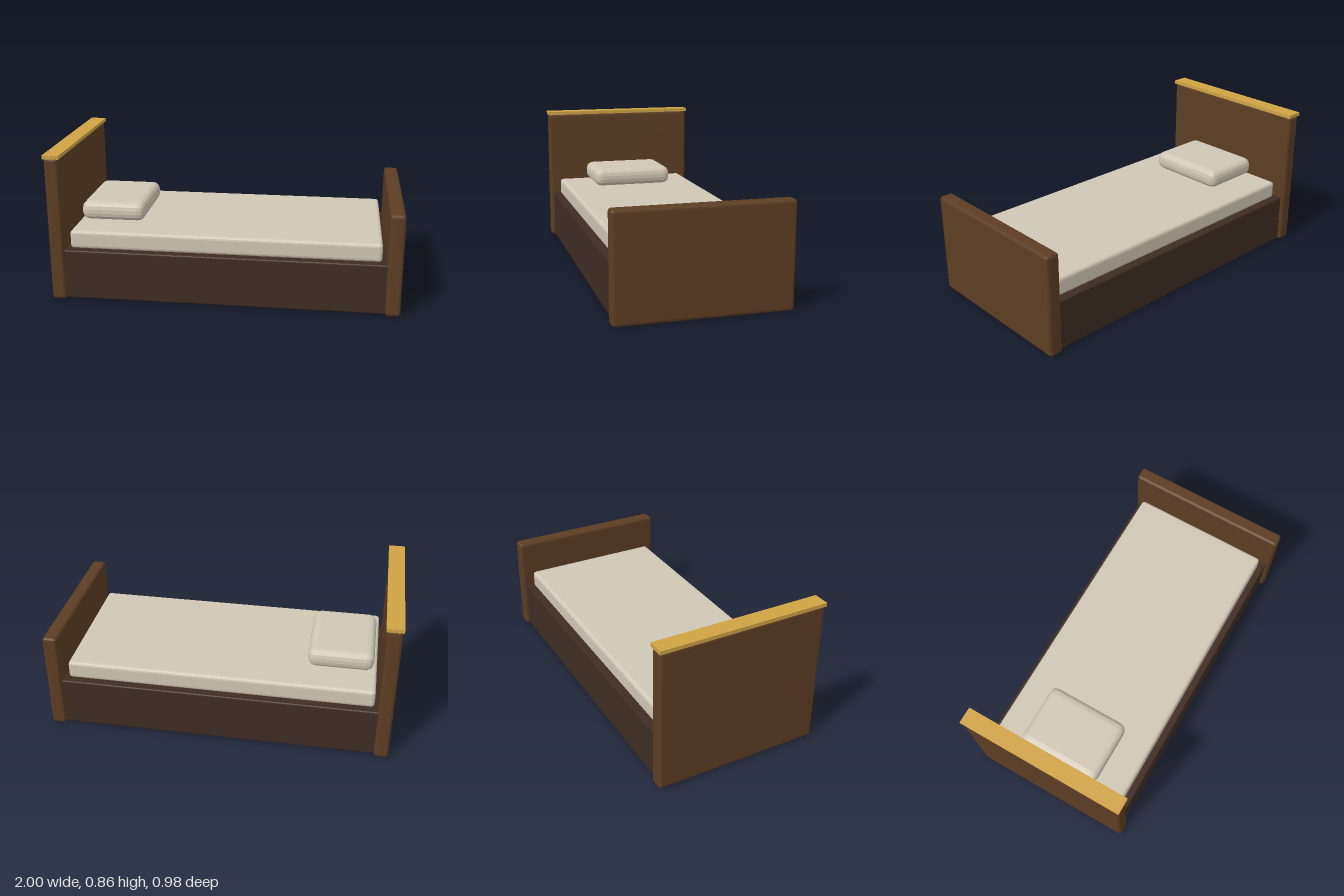
import * as THREE from 'three';
import { RoundedBoxGeometry } from 'three/addons/geometries/RoundedBoxGeometry.js';

const material = (name, color) => {
  const m = new THREE.MeshStandardMaterial({ color });
  m.name = name;
  return m;
};

export function createModel() {
  const bed = new THREE.Group();
  bed.name = 'bed';

  const wood = material('brown wood', 0x5c3d23);
  const darkWood = material('dark wood', 0x3e2c23);
  const gold = material('gold trim', 0xd0a345);
  const linen = material('linen', 0xd0c7b5);

  // Box given by its x and y ranges and depth, with optional faceted round edges
  function block(name, mat, [x0, x1], [y0, y1], depth, radius = 0) {
    const w = x1 - x0, h = y1 - y0;
    const geometry = radius
      ? new RoundedBoxGeometry(w, h, depth, 2, radius)
      : new THREE.BoxGeometry(w, h, depth);
    if (radius) geometry.computeVertexNormals(); // unshared corners give flat facets
    const mesh = new THREE.Mesh(geometry, mat);
    mesh.name = name;
    mesh.position.set((x0 + x1) / 2, (y0 + y1) / 2, 0);
    bed.add(mesh);
  }

  // Wooden body
  block('bedFrame', darkWood, [-0.93, 0.93], [0.003, 0.297], 0.93, 0.01);
  block('headboard', wood, [-0.995, -0.913], [0, 0.845], 0.975, 0.018);
  block('headboardCap', gold, [-1, -0.905], [0.841, 0.862], 0.982);
  block('footboard', wood, [0.916, 1], [0, 0.595], 0.975, 0.018);

  // Bedding
  block('mattress', linen, [-0.89, 0.888], [0.295, 0.402], 0.85, 0.02);
  block('pillow', linen, [-0.87, -0.492], [0.408, 0.52], 0.5, 0.045);

  return bed;
}
